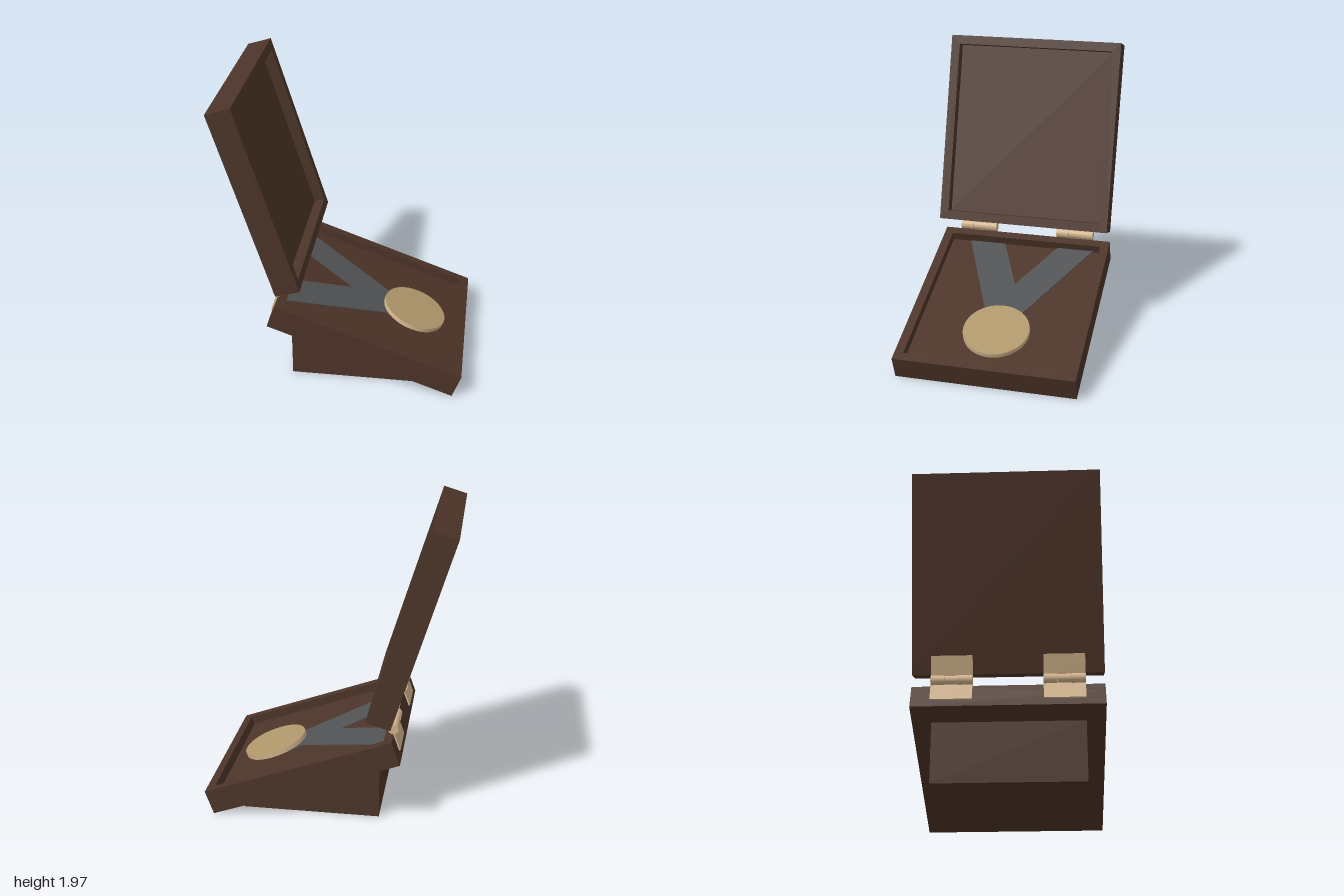
import * as THREE from 'three';

const mat = (name, color) => Object.assign(new THREE.MeshStandardMaterial({ color }), { name });

export function createModel() {
  const wood = mat('dark wood', 0x4c3428);
  const gold = mat('gold', 0xb0976b);
  const brass = mat('pale brass', 0xd2b48c);
  const cloth = mat('grey ribbon', 0x505254);

  const W = 1.2, L = 1.3, H = 0.165, RIM = 0.06;
  const add = (parent, name, geo, material, x = 0, y = 0, z = 0) => {
    const m = new THREE.Mesh(geo, material);
    m.name = name;
    m.position.set(x, y, z);
    parent.add(m);
    return m;
  };
  const poly = (pts) => new THREE.Shape(pts.map(([x, y]) => new THREE.Vector2(x, y)));
  const extrude = (shape, depth) => new THREE.ExtrudeGeometry(shape, { depth, bevelEnabled: false });

  // Open half of the case: lies in x/y from y = 0 to L, opening toward +z
  function openCase(name, cavity) {
    const g = new THREE.Group();
    g.name = name;
    const rect = (inset) => [[-W / 2 + inset, inset], [W / 2 - inset, inset],
      [W / 2 - inset, L - inset], [-W / 2 + inset, L - inset]];
    const frame = poly(rect(0));
    frame.holes.push(poly(rect(RIM).reverse()));
    add(g, name + 'Frame', extrude(frame, cavity), wood, 0, 0, H - cavity);
    add(g, name + 'Panel', new THREE.BoxGeometry(W, L, H - cavity), wood, 0, L / 2, (H - cavity) / 2);
    return g;
  }

  const model = new THREE.Group();
  model.name = 'medalCase';
  const body = new THREE.Group();
  body.name = 'case';
  body.rotation.y = 0.738;
  model.add(body);

  // Tray leaning back to front, and raised lid
  const tilt = THREE.MathUtils.degToRad(20);
  const tray = openCase('tray', 0.06);
  tray.position.set(0, 0, 0.74);
  tray.rotation.x = tilt - Math.PI / 2;
  body.add(tray);

  const lid = openCase('lid', 0.075);
  lid.position.set(0, 0.681, -0.416);
  lid.rotation.x = -THREE.MathUtils.degToRad(17);
  body.add(lid);

  // Wedge stand under the tray; profile drawn as (-z, y)
  const under = (z) => (0.74 - z) * Math.tan(tilt) + 0.004;
  const wedge = extrude(poly([[-0.56, 0], [0.34, 0], [0.34, under(-0.34)], [-0.56, under(0.56)]]), 0.96);
  wedge.rotateY(Math.PI / 2);
  add(body, 'stand', wedge, wood, -0.48, 0, 0);

  // Two ribbon straps crossing beneath the medal
  const floor = H - 0.06;
  const strap = (name, backX, frontX, z) => {
    const w = 0.128, v0 = 0.48, v1 = 1.236;
    add(tray, name, extrude(poly([[frontX - w, v0], [frontX + w, v0],
      [backX + w, v1], [backX - w, v1]]), 0.006), cloth, 0, 0, z);
  };
  strap('leftRibbon', 0.36, -0.045, floor + 0.008);
  strap('rightRibbon', -0.28, 0.035, floor + 0.001);

  // Medal disc
  const disc = new THREE.CylinderGeometry(0.22, 0.22, 0.03, 64);
  disc.rotateX(Math.PI / 2);
  add(tray, 'medal', disc, [brass, gold, gold], 0, 0.369, floor + 0.029);

  // Hinges: three-knuckle barrel plus a leaf on each half
  for (const x of [-0.35, 0.35]) {
    for (let i = -1; i <= 1; i++) {
      const r = i === 0 ? 0.031 : 0.034;
      const knuckle = new THREE.CylinderGeometry(r, r, 0.086, 24);
      knuckle.rotateZ(Math.PI / 2);
      add(body, 'hingeKnuckle', knuckle, brass, x + i * 0.087, 0.637, -0.424);
    }
    add(tray, 'trayHingeLeaf', new THREE.BoxGeometry(0.26, 0.01, 0.15), brass, x, L + 0.005, 0.125);
    add(lid, 'lidHingeLeaf', new THREE.BoxGeometry(0.26, 0.16, 0.01), brass, x, 0.04, -0.005);
  }
  return model;
}
